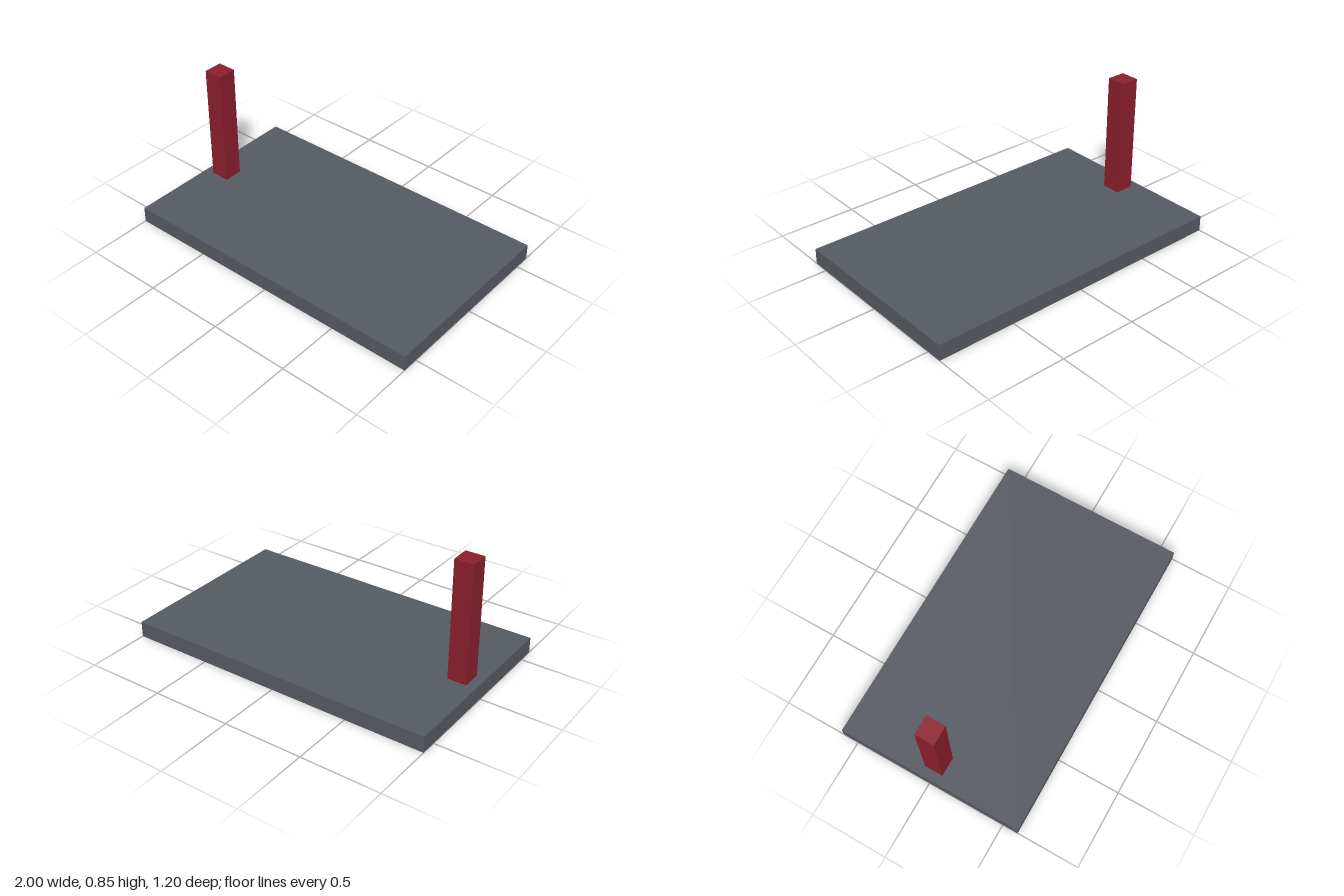
import * as THREE from 'three';

// Box standing on height y
function block(name, [w, h, d], [x, y, z], color) {
  const mesh = new THREE.Mesh(
    new THREE.BoxGeometry(w, h, d),
    new THREE.MeshStandardMaterial({ color })
  );
  mesh.name = name;
  mesh.position.set(x, y + h / 2, z);
  return mesh;
}

export function createModel() {
  const model = new THREE.Group();
  model.name = 'slabWithPost';

  // Flat rectangular slab
  model.add(block('baseSlab', [2, 0.1, 1.2], [0, 0, 0], 0x555960));

  // Square post near the -x end
  model.add(block('post', [0.12, 0.75, 0.12], [-0.88, 0.1, 0], 0x8a1e2d));

  return model;
}
